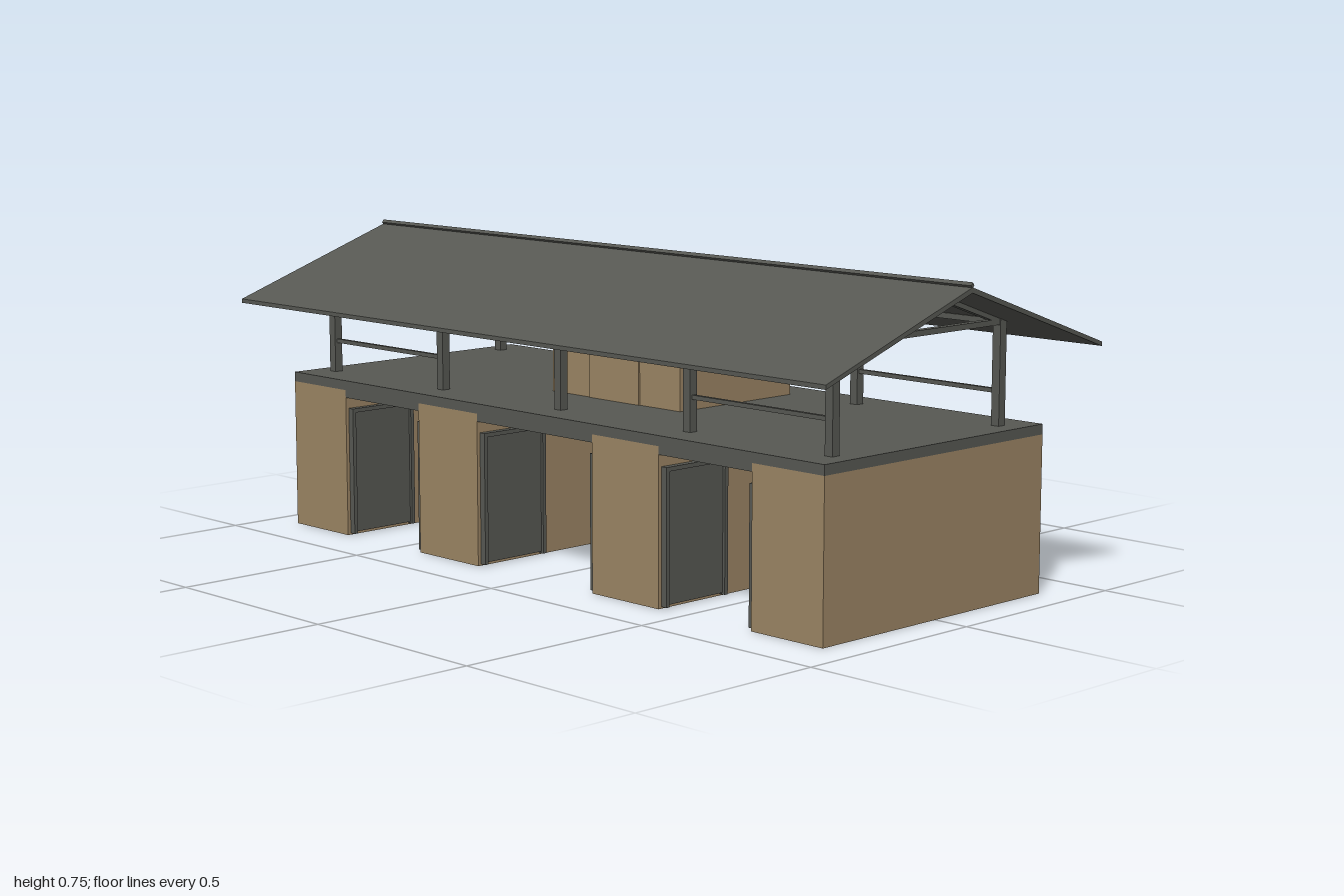
import * as THREE from 'three';

export function createModel() {
  const model = new THREE.Group();
  const mat = (name, color) => {
    const m = new THREE.MeshStandardMaterial({ color });
    m.name = name;
    return m;
  };
  const tan = mat('tan wall', 0x9c8564);
  const gray = mat('dark gray', 0x575853);

  // Box given by its minimum and maximum corners
  const box = (name, m, x0, x1, y0, y1, z0, z1) => {
    const mesh = new THREE.Mesh(new THREE.BoxGeometry(x1 - x0, y1 - y0, z1 - z0), m);
    mesh.position.set((x0 + x1) / 2, (y0 + y1) / 2, (z0 + z1) / 2);
    mesh.name = name;
    model.add(mesh);
    return mesh;
  };

  // Profile in (z, y), extruded along x
  const profileX = (name, m, points, x0, x1) => {
    const shape = new THREE.Shape(points.map(([z, y]) => new THREE.Vector2(-z, y)));
    const geo = new THREE.ExtrudeGeometry(shape, { depth: x1 - x0, bevelEnabled: false });
    geo.rotateY(Math.PI / 2);
    geo.translate(x0, 0, 0);
    const mesh = new THREE.Mesh(geo, m);
    mesh.name = name;
    model.add(mesh);
  };

  // Ground floor blocks
  const depth = 0.367;
  for (const s of [-1, 1]) {
    for (const [a, b] of [[0.2, 0.417], [0.703, 0.912]]) {
      box('groundBlock', tan, Math.min(s * a, s * b), Math.max(s * a, s * b), 0, 0.37, -depth, depth);
    }
  }

  // Upper floor slab, and lowered ceilings over the passages
  box('floorSlab', gray, -0.912, 0.912, 0.37, 0.394, -depth, depth);
  for (const [a, b] of [[-0.703, -0.417], [-0.2, 0.2], [0.417, 0.703]]) {
    box('passageCeiling', gray, a, b, 0.351, 0.37, -depth, depth);
  }

  // Framed doors on the passage walls, near the front
  const door = (x, dir) => {
    const part = (name, t, y0, y1, z0, z1) =>
      box(name, gray, Math.min(x, x + dir * t), Math.max(x, x + dir * t), y0, y1, z0, z1);
    part('doorPanel', 0.009, 0.008, 0.313, 0.172, 0.348);
    part('doorFrameTop', 0.016, 0.313, 0.323, 0.162, 0.358);
    part('doorFrameSide', 0.016, 0.004, 0.313, 0.162, 0.172);
    part('doorFrameSide', 0.016, 0.004, 0.313, 0.348, 0.358);
  };
  for (const s of [-1, 1]) {
    door(s * 0.2, -s);
    door(s * 0.417, s);
    door(s * 0.703, -s);
  }

  // Upper room: thin walls and a front door
  const top = 0.577, base = 0.394;
  box('roomFrontWall', tan, -0.22, 0.22, base, top, 0.095, 0.105);
  box('roomBackWall', tan, -0.22, 0.22, base, top, -0.27, -0.26);
  for (const s of [-1, 1]) {
    box('roomSideWall', tan, s * 0.215 - 0.005, s * 0.215 + 0.005, base, top, -0.26, 0.095);
  }
  box('roomDoor', tan, -0.085, 0.085, base, 0.545, 0.105, 0.109);

  // Posts, tie beams and rafters
  for (const x of [-0.853, -0.427, 0, 0.427, 0.853]) {
    for (const z of [-0.279, 0.279]) {
      box('post', gray, x - 0.011, x + 0.011, base, 0.639, z - 0.011, z + 0.011);
    }
    box('tieBeam', gray, x - 0.009, x + 0.009, 0.625, 0.638, -0.268, 0.268);
    profileX('rafters', gray,
      [[-0.268, 0.628], [0, 0.719], [0.268, 0.628], [0.268, 0.642], [0, 0.734], [-0.268, 0.642]],
      x - 0.009, x + 0.009);
  }

  // Top plates and railings along both long sides
  for (const z of [-0.279, 0.279]) {
    box('topPlate', gray, -0.853, 0.853, 0.624, 0.637, z - 0.008, z + 0.008);
    for (const s of [-1, 1]) {
      box('railing', gray, s * 0.64 - 0.213, s * 0.64 + 0.213, 0.468, 0.478, z - 0.005, z + 0.005);
    }
  }

  // Gable roof and ridge cap
  profileX('roof', gray,
    [[-0.463, 0.572], [0, 0.731], [0.463, 0.572], [0.463, 0.582], [0, 0.743], [-0.463, 0.582]], -1, 1);
  profileX('ridgeCap', gray, [[0, 0.74], [0.005, 0.747], [0, 0.754], [-0.005, 0.747]], -1, 1);

  return model;
}
